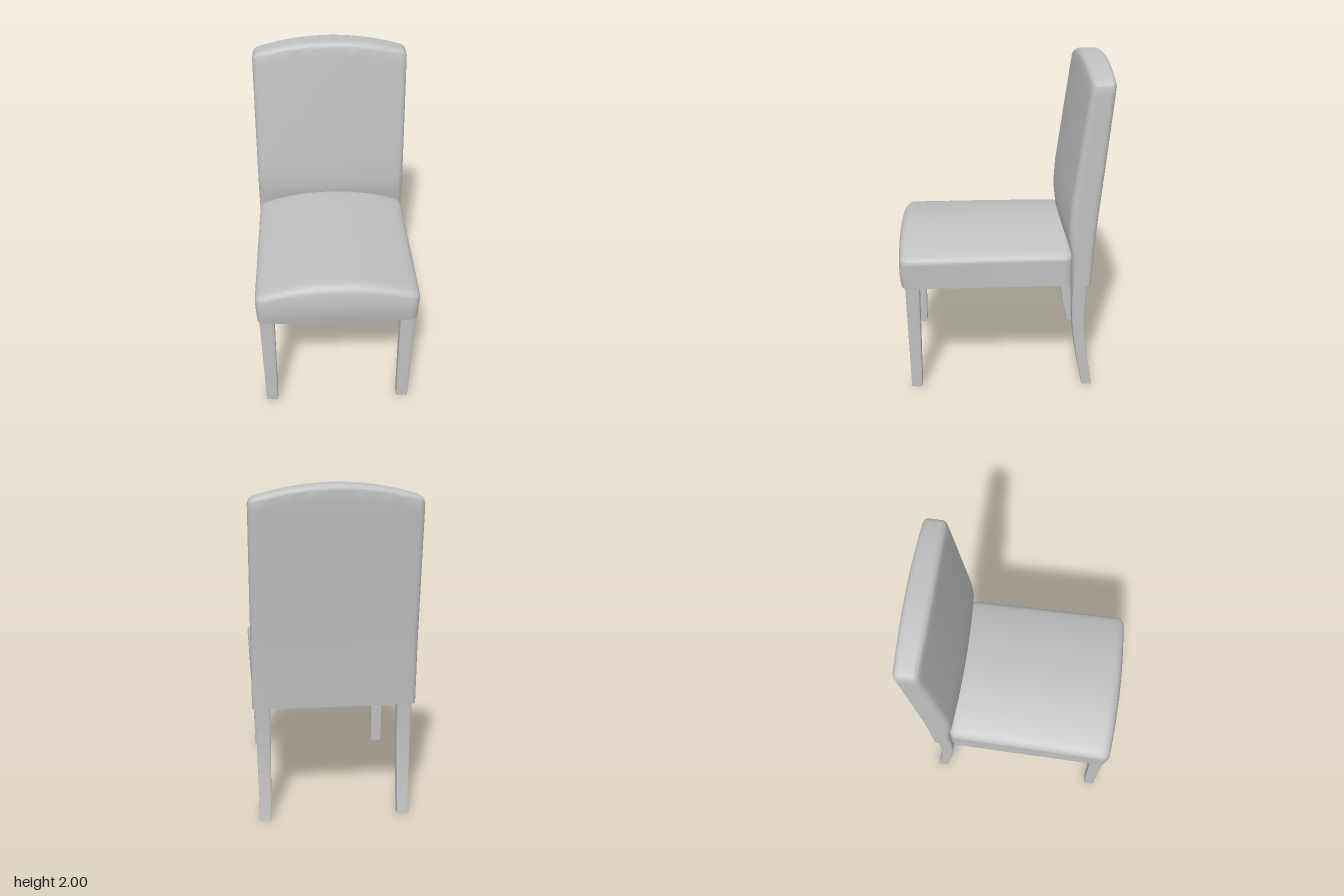
import * as THREE from 'three';
import { toCreasedNormals } from 'three/addons/utils/BufferGeometryUtils.js';

// Piecewise smooth lookup in a short list of [position, value] pairs
function profile(points, y) {
  if (y <= points[0][0]) return points[0][1];
  for (let i = 1; i < points.length; i++) {
    const [y0, v0] = points[i - 1], [y1, v1] = points[i];
    if (y <= y1) return v0 + (v1 - v0) * (y - y0) / (y1 - y0);
  }
  return points[points.length - 1][1];
}

// Box with rounded edges and a flat bottom, then bent by warp(vector)
function softBox(w, h, d, r, n, warp, flatTop = false) {
  const geo = new THREE.BoxGeometry(2, 2, 2, n, n, n);
  const pos = geo.attributes.position;
  const half = [w / 2, h / 2, d / 2];
  // Crowd the grid lines into the rounded edges
  const place = (u, s) => Math.sign(u) * (Math.abs(u) > 0.7
    ? s - r + (Math.abs(u) - 0.7) / 0.3 * r
    : Math.abs(u) / 0.7 * (s - r));
  const p = new THREE.Vector3(), inner = new THREE.Vector3();
  for (let i = 0; i < pos.count; i++) {
    p.fromBufferAttribute(pos, i);
    p.set(place(p.x, half[0]), place(p.y, half[1]), place(p.z, half[2]));
    const lim = (v, s) => THREE.MathUtils.clamp(v, r - s, s - r);
    const flat = flatTop || p.y < 0;
    inner.set(lim(p.x, half[0]), flat ? p.y : lim(p.y, half[1]), lim(p.z, half[2]));
    p.sub(inner);
    if (p.length() > 1e-6) p.setLength(Math.min(r, p.length()));
    p.add(inner);
    warp(p);
    pos.setXYZ(i, p.x, p.y, p.z);
  }
  return toCreasedNormals(geo, 0.7);
}

export function createModel() {
  const chair = new THREE.Group();
  chair.name = 'diningChair';
  const grey = new THREE.MeshStandardMaterial({ color: 0xc0c0c0 });
  grey.name = 'grey';
  const add = (name, geo) => {
    const mesh = new THREE.Mesh(geo, grey);
    mesh.name = name;
    chair.add(mesh);
    return mesh;
  };

  // Domed seat cushion with a bowed, slightly bulging front
  add('seat', softBox(0.97, 0.285, 1.01, 0.045, 24, p => {
    const t = p.y / 0.285 + 0.5;
    const across = 1 - Math.min(1, (p.x / 0.485) ** 2);
    const along = p.z / 1.01 + 0.5;
    const bulge = Math.sin(Math.PI * Math.min(1, t));
    p.x *= 0.978 + 0.03 * along * (0.4 + 0.6 * t);
    p.y = 0.7 + t * (0.19 + 0.095 * across - 0.012 * Math.max(0, along - 0.5));
    p.z += 0.095 + along ** 6 * (0.022 * across * (0.4 + 0.6 * bulge) + 0.008 * bulge);
  }));

  // Raked backrest with an arched top and a padded front
  const front = [[0.7, -0.412], [0.86, -0.41], [0.95, -0.395], [1.02, -0.388],
    [1.1, -0.389], [1.2, -0.396], [1.5, -0.434], [1.8, -0.473], [2, -0.5]];
  const rear = [[0.7, -0.525], [0.9, -0.535], [1.1, -0.549], [1.5, -0.586], [1.9, -0.621], [2, -0.627]];
  add('backrest', softBox(0.96, 1.3, 0.15, 0.035, 28, p => {
    const across = 1 - Math.min(1, (p.x / 0.48) ** 2);
    const t = p.y / 1.3 + 0.5;
    const y = 0.7 + t * (1.222 + 0.078 * across);
    const depth = p.z / 0.15 + 0.5;
    const pad = 0.024 * across * THREE.MathUtils.smoothstep(y, 0.85, 1.0);
    p.y = y;
    p.z = THREE.MathUtils.lerp(profile(rear, y), profile(front, y) + pad, depth);
  }));

  // Legs: straight tapered in front, curved sabre legs behind
  const rearCurve = new THREE.CatmullRomCurve3([[0, -0.525], [0.2, -0.487], [0.35, -0.467],
    [0.5, -0.457], [0.71, -0.46]].map(([y, z]) => new THREE.Vector3(0, y, z)));
  for (const [side, s] of [['left', 1], ['right', -1]]) {
    add(side + 'FrontLeg', softBox(1, 1, 1, 0.09, 12, p => {
      const t = p.y + 0.5;
      p.set(s * (0.417 + 0.006 * t) + p.x * (0.072 + 0.017 * t),
        0.014 + 0.691 * t, 0.533 + 0.006 * t + p.z * (0.065 + 0.02 * t));
    }, true));

    const glide = add(side + 'FrontGlide', new THREE.CylinderGeometry(0.024, 0.022, 0.02, 16));
    glide.position.set(s * 0.417, 0.01, 0.533);

    add(side + 'RearLeg', softBox(1, 1, 1, 0.09, 16, p => {
      const t = p.y + 0.5;
      const c = rearCurve.getPoint(t);
      p.set(s * (0.415 + 0.003 * t) + p.x * (0.07 + 0.017 * t),
        c.y, c.z + p.z * (0.06 + 0.026 * t));
    }, true));
  }
  return chair;
}
